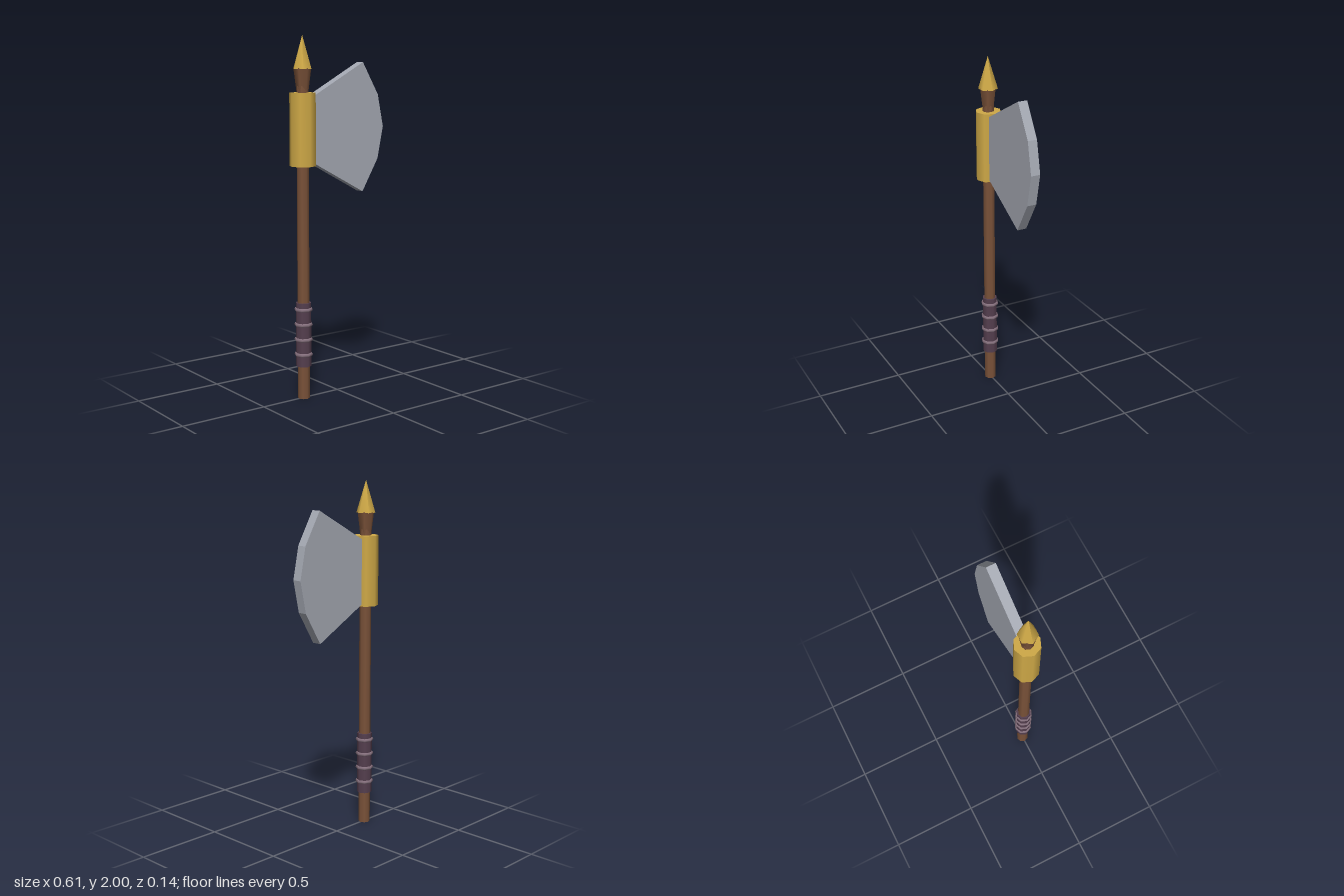
import * as THREE from 'three';

const paint = (name, color) => {
  const m = new THREE.MeshStandardMaterial({ color });
  m.name = name;
  return m;
};

export function createModel() {
  const wood = paint('brown wood', 0x7a5239);
  const gold = paint('gold', 0xcfa947);
  const steel = paint('grey steel', 0xa4a8b2);
  const leather = paint('plum leather', 0x553f4f);
  const cord = paint('pale mauve cord', 0x85707d);

  const axe = new THREE.Group();
  axe.name = 'axe';
  // everything round sits on the shaft axis
  const shaftAxis = new THREE.Group();
  shaftAxis.name = 'shaftAxis';
  shaftAxis.position.x = -0.233;
  axe.add(shaftAxis);

  // upright cylinder between two heights
  const rod = (name, mat, rTop, rBottom, y0, y1, sides, turn = 0) => {
    const mesh = new THREE.Mesh(new THREE.CylinderGeometry(rTop, rBottom, y1 - y0, sides), mat);
    mesh.name = name;
    mesh.position.y = (y0 + y1) / 2;
    mesh.rotation.y = turn;
    shaftAxis.add(mesh);
  };

  rod('shaft', wood, 0.033, 0.034, 0, 1.73, 8);
  rod('grip', leather, 0.043, 0.043, 0.185, 0.545, 8);
  rod('collar', gold, 0.072, 0.072, 1.3, 1.695, 8);
  rod('neck', wood, 0.048, 0.031, 1.69, 1.825, 6);
  rod('spearTip', gold, 0, 0.054, 1.82, 2, 6, Math.PI / 2);

  // cord rings around the grip
  for (let i = 0; i < 4; i++) {
    const ring = new THREE.Mesh(new THREE.TorusGeometry(0.041, 0.011, 6, 8), cord);
    ring.name = 'gripRing' + (i + 1);
    ring.rotation.x = Math.PI / 2;
    ring.position.y = 0.252 + i * 0.085;
    shaftAxis.add(ring);
  }

  // fan-shaped blade of even thickness
  const outline = [[-0.19, 1.32], [-0.17, 1.31], [0.158, 1.135], [0.265, 1.315], [0.303, 1.495],
    [0.265, 1.675], [0.158, 1.855], [-0.17, 1.68], [-0.19, 1.67]];
  const shape = new THREE.Shape(outline.map(([x, y]) => new THREE.Vector2(x, y)));
  const bladeGeo = new THREE.ExtrudeGeometry(shape, { depth: 0.054, bevelEnabled: false });
  bladeGeo.translate(0, 0, -0.027);
  const blade = new THREE.Mesh(bladeGeo, steel);
  blade.name = 'blade';
  axe.add(blade);

  return axe;
}
